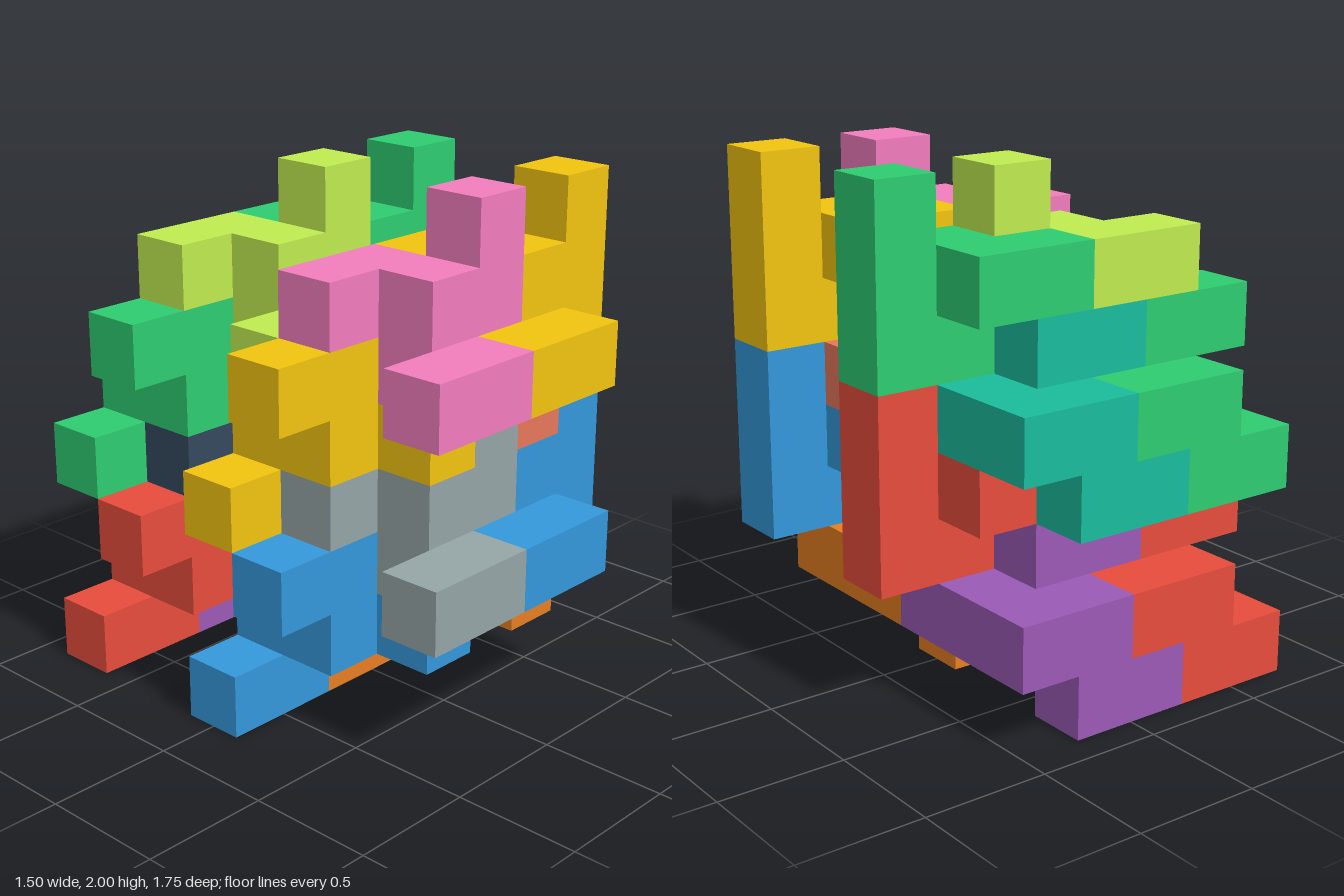
import * as THREE from 'three';
import { mergeGeometries } from 'three/addons/utils/BufferGeometryUtils.js';

const U = 0.25; // edge of one unit cube

// Two orientations of the same nine-cube piece, as [x, y, z] grid cells
const UPRIGHT = [
  [3, 5, 6], [4, 5, 6], [4, 5, 5],            // low arm towards the front
  [3, 6, 4], [4, 6, 4], [4, 6, 5],            // high arm towards the back
  [5, 5, 5], [5, 6, 5], [5, 7, 5],            // vertical bar
];
const LYING = [
  [2, 3, 3], [3, 3, 3], [3, 4, 3],            // low arm
  [2, 5, 4], [3, 5, 4], [3, 4, 4],            // high arm
  [4, 4, 3], [4, 4, 4], [4, 4, 5],            // horizontal bar
];

// Outward directions with the rotation that turns a +z plane to face them
const SIDES = [
  [[0, 0, 1], 0, 0], [[0, 0, -1], 0, Math.PI],
  [[1, 0, 0], 0, Math.PI / 2], [[-1, 0, 0], 0, -Math.PI / 2],
  [[0, 1, 0], -Math.PI / 2, 0], [[0, -1, 0], Math.PI / 2, 0],
];

// Outer skin of a piece: a square wherever a cell has no neighbour
function pieceGeometry(cells) {
  const filled = new Set(cells.map(String));
  const faces = [];
  for (const [x, y, z] of cells) {
    for (const [[dx, dy, dz], rx, ry] of SIDES) {
      if (filled.has(String([x + dx, y + dy, z + dz]))) continue;
      const face = new THREE.PlaneGeometry(U, U);
      face.rotateX(rx).rotateY(ry);
      face.translate(
        (x - 2.5 + dx / 2) * U,
        (y + 0.5 + dy / 2) * U,
        (z - 3 + dz / 2) * U
      );
      faces.push(face);
    }
  }
  return mergeGeometries(faces);
}

const YELLOW = 0xf1c40f, GREEN = 0x2ecc71, BLUE = 0x3498db, RED = 0xe74c3c;

// Colours of the [right, left] pair at each step down and back
const LAYOUT = [
  { down: 0, back: 0, place: 'upperFront', upright: [YELLOW, 0xf27dbd], lying: [0xe8775a, YELLOW] },
  { down: 0, back: 3, place: 'upperBack', upright: [GREEN, 0xc0ec50], lying: [0x1abc9c, GREEN] },
  { down: 3, back: 0, place: 'lowerFront', upright: [BLUE, 0x95a5a6], lying: [0xe67e22, BLUE] },
  { down: 3, back: 3, place: 'lowerBack', upright: [RED, 0x34495e], lying: [0x9b59b6, RED] },
];

export function createModel() {
  const model = new THREE.Group();
  model.name = 'interlockingCubePieces';
  const shapes = { upright: pieceGeometry(UPRIGHT), lying: pieceGeometry(LYING) };

  // Repeat both pieces two cells along x and three cells along y and z
  for (const spot of LAYOUT) {
    for (const kind of ['upright', 'lying']) {
      spot[kind].forEach((color, i) => {
        const piece = new THREE.Mesh(shapes[kind], new THREE.MeshStandardMaterial({ color }));
        piece.name = `${spot.place} ${kind} piece ${i + 1}`;
        piece.position.set(-2 * i * U, -spot.down * U, -spot.back * U);
        model.add(piece);
      });
    }
  }
  return model;
}
